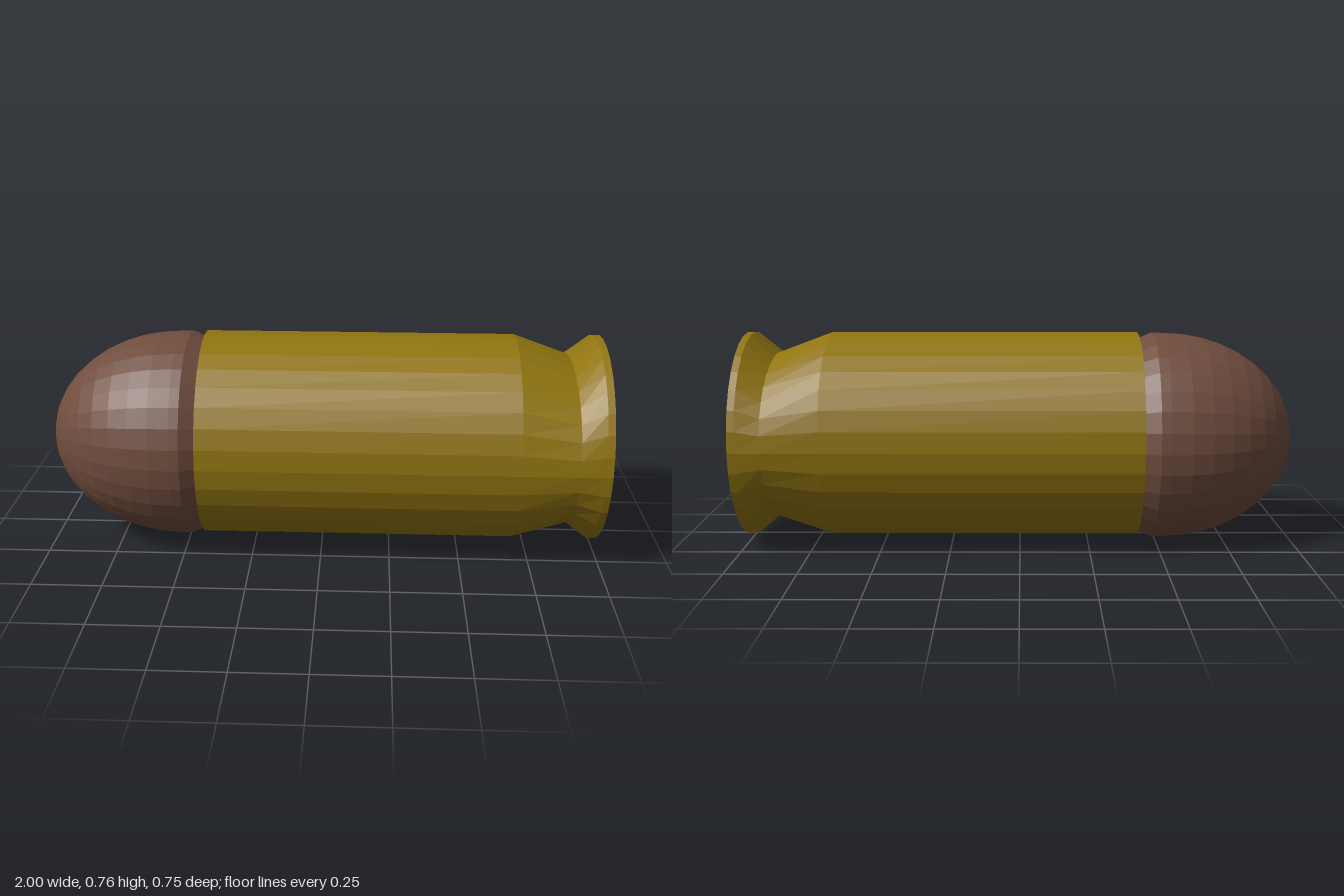
import * as THREE from 'three';

const SIDES = 32;

// Turned part lying along x, from [x, radius] pairs ordered left to right
function turned(name, profile, color) {
  const geometry = new THREE.LatheGeometry(profile.map(([x, r]) => new THREE.Vector2(r, x)), SIDES);
  geometry.rotateZ(-Math.PI / 2);
  const material = new THREE.MeshStandardMaterial({ color, flatShading: true });
  const mesh = new THREE.Mesh(geometry, material);
  mesh.name = name;
  return mesh;
}

export function createModel() {
  const group = new THREE.Group();
  group.name = 'cartridge';

  // Casing with closed ends and a flat rim
  const R = 0.375, grooveX = 0.89;
  const casing = turned('casing', [
    [-0.43, 0], [-0.43, R], [0.69, R], [grooveX, R], [0.975, R], [1, R], [1, 0],
  ], 0x917510);
  casing.position.y = 0.389;

  // Groove before the rim is pinched in height only
  const p = casing.geometry.attributes.position;
  for (let i = 0; i < p.count; i++) {
    if (Math.abs(p.getX(i) - grooveX) < 0.001) p.setY(i, p.getY(i) * 0.8);
  }
  casing.geometry.computeVertexNormals();
  group.add(casing);

  // Rounded tip, tapering in where it meets the casing
  const tipR = 0.38, centre = -0.52, steps = 10;
  const tipProfile = [];
  for (let i = 0; i <= steps; i++) {
    const a = (i / steps) * Math.PI / 2;
    tipProfile.push([centre - 0.48 * Math.cos(a), tipR * Math.sin(a)]);
  }
  tipProfile.push([-0.485, tipR], [-0.43, 0.355], [-0.42, 0.35]);
  const tip = turned('tip', tipProfile, 0x704d3e);
  tip.scale.z = 0.965;
  tip.position.y = 0.382;
  group.add(tip);

  return group;
}
